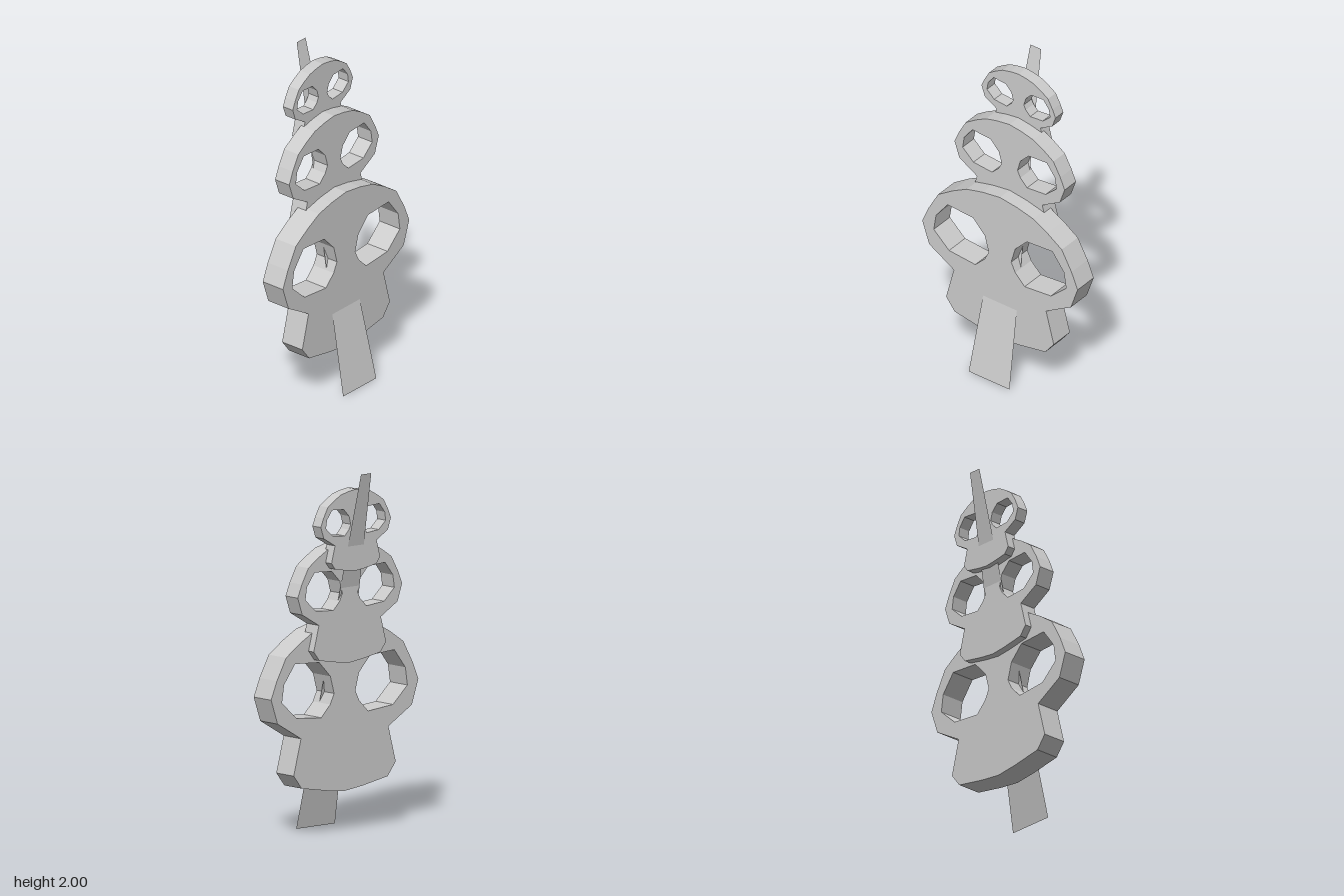
import * as THREE from 'three';

const material = new THREE.MeshStandardMaterial({ color: 0xcccccc, flatShading: true, side: THREE.DoubleSide });

// Right half of the skull outline, crown to chin, with the crown at y = 0
const half = [
  [0, 0], [0.12, -0.017], [0.228, -0.044], [0.325, -0.097], [0.425, -0.165], [0.492, -0.286],
  [0.534, -0.387], [0.487, -0.524], [0.317, -0.624], [0.37, -0.825], [0.312, -0.9], [0.13, -0.932], [0, -0.947],
];
// Eye socket on the same side
const eye = [
  [0.36, -0.206], [0.185, -0.217], [0.104, -0.302], [0.077, -0.4], [0.105, -0.458],
  [0.17, -0.524], [0.35, -0.508], [0.455, -0.412], [0.44, -0.312],
];

const points = (list, sx, s) => list.map(([x, y]) => new THREE.Vector2(x * s * sx, y * s));

// Flat plate cut in the shape of a skull
function skull(name, scale, crownY, zBack, zFront) {
  const left = points(half, -1, scale).slice(1, -1).reverse();
  const shape = new THREE.Shape([...points(half, 1, scale), ...left]);
  for (const side of [1, -1]) shape.holes.push(new THREE.Path(points(eye, side, scale)));
  const geometry = new THREE.ExtrudeGeometry(shape, { depth: zFront - zBack, bevelEnabled: false });
  const mesh = new THREE.Mesh(geometry, material);
  mesh.name = name;
  mesh.position.set(0, crownY, zBack);
  return mesh;
}

// Thin leaning stake that tapers to the top and passes through every skull
function stake() {
  const geometry = new THREE.PlaneGeometry(1, 2);
  const p = geometry.attributes.position;
  for (let i = 0; i < p.count; i++) {
    const top = p.getY(i) > 0;
    p.setXYZ(i, Math.sign(p.getX(i)) * (top ? 0.037 : 0.14), top ? 2 : 0, top ? -0.21 : 0.208);
  }
  geometry.computeVertexNormals();
  const mesh = new THREE.Mesh(geometry, material);
  mesh.name = 'stake';
  return mesh;
}

export function createModel() {
  const group = new THREE.Group();
  group.name = 'skullTotem';
  group.add(
    skull('lowerSkull', 1, 1.172, -0.033, 0.111),
    skull('middleSkull', 0.709, 1.612, -0.076, 0.025),
    skull('upperSkull', 0.476, 1.905, -0.125, -0.055),
    stake(),
  );
  return group;
}
